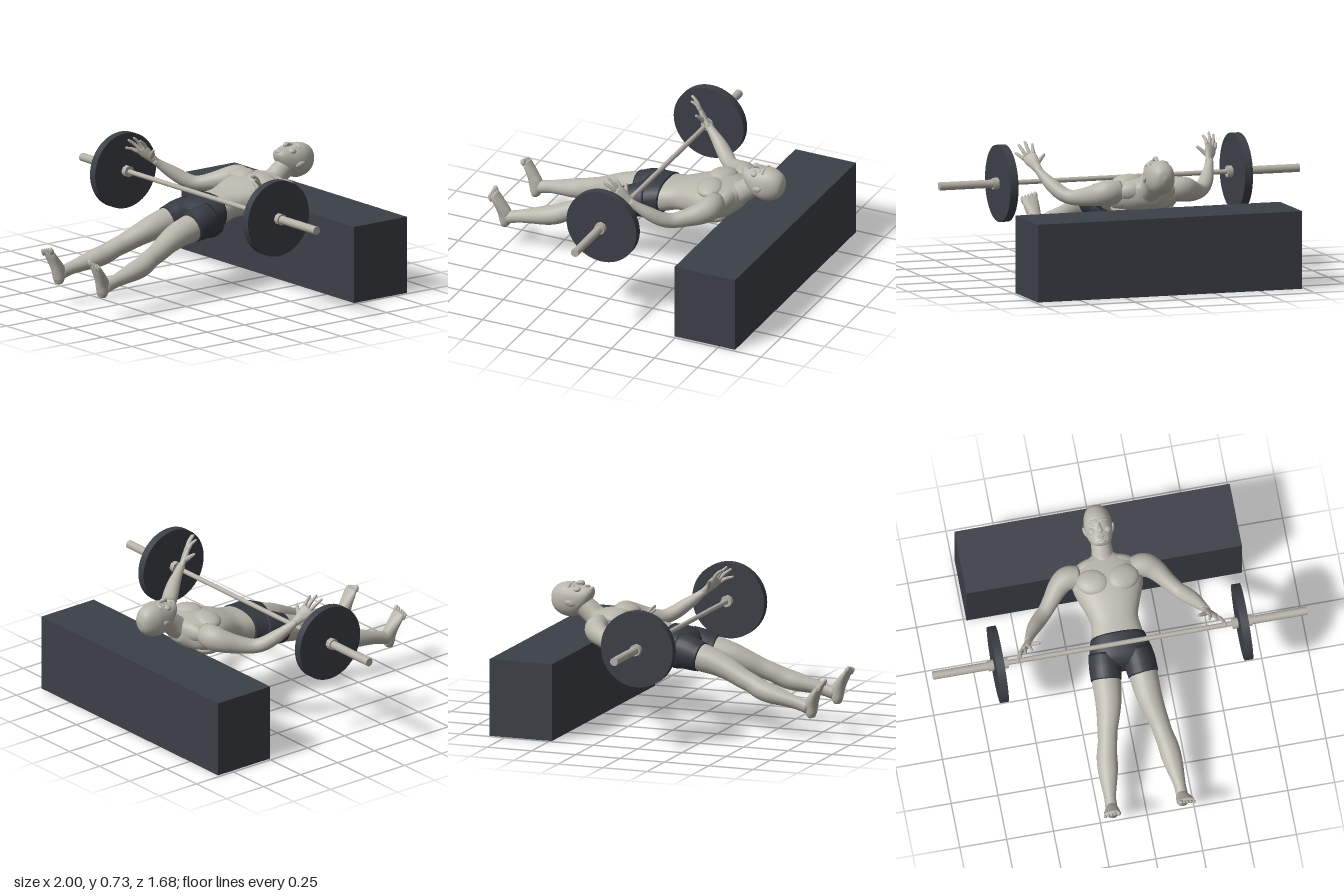
import * as THREE from 'three';

const V = (x, y, z) => new THREE.Vector3(x, y, z);
const UP = V(0, 1, 0);

// Skin over rounded cross-sections; rows are [x, y, z, halfWidth, halfHeight]
function loft(rows, { up = UP, axis = null, power = 1, bulge = 0.3, steps = 4, sides = 24 } = {}) {
  const path = new THREE.CatmullRomCurve3(rows.map(r => V(r[0], r[1], r[2])), false, 'catmullrom');
  const size = new THREE.CatmullRomCurve3(rows.map(r => V(r[3], r[4], 0)), false, 'catmullrom');
  const n = (rows.length - 1) * steps, pos = [], idx = [];
  const bend = v => Math.sign(v) * Math.pow(Math.abs(v), power);
  const ends = [];
  for (let i = 0; i <= n; i++) {
    const c = path.getPoint(i / n), s = size.getPoint(i / n);
    const t = axis ? axis.clone() : path.getTangent(i / n);
    const side = up.clone().cross(t).normalize(), top = t.clone().cross(side);
    for (let j = 0; j < sides; j++) {
      const a = j / sides * Math.PI * 2;
      const p = c.clone().addScaledVector(side, s.x * bend(Math.cos(a))).addScaledVector(top, s.y * bend(Math.sin(a)));
      pos.push(p.x, p.y, p.z);
    }
    if (i === 0 || i === n) ends.push(c.clone().addScaledVector(t, (i ? 1 : -1) * bulge * Math.min(s.x, s.y)));
  }
  ends.forEach(e => pos.push(e.x, e.y, e.z));
  const last = (n + 1) * sides;
  for (let j = 0; j < sides; j++) {
    const k = (j + 1) % sides;
    for (let i = 0; i < n; i++) {
      const a = i * sides + j, b = i * sides + k;
      idx.push(a, b, a + sides, b, b + sides, a + sides);
    }
    idx.push(last, k, j, last + 1, n * sides + j, n * sides + k);
  }
  const g = new THREE.BufferGeometry();
  g.setAttribute('position', new THREE.Float32BufferAttribute(pos, 3));
  g.setIndex(idx);
  g.computeVertexNormals();
  return g;
}

// Sections given as [z, halfWidth, top, bottom]
const slices = rows => rows.map(([z, w, t, b]) => [0, (t + b) / 2, z, w, (t - b) / 2]);

export function createModel() {
  const skin = new THREE.MeshStandardMaterial({ color: 0xb8b5ab });
  skin.name = 'skin';
  const steel = new THREE.MeshStandardMaterial({ color: 0xb5b1a7 });
  steel.name = 'steel';
  const dark = new THREE.MeshStandardMaterial({ color: 0x3b4047 });
  dark.name = 'charcoal';
  const cloth = new THREE.MeshStandardMaterial({ color: 0x353a41 });
  cloth.name = 'shortsCloth';

  const model = new THREE.Group();
  model.name = 'barbellHipThrust';
  const group = name => {
    const g = new THREE.Group();
    g.name = name;
    model.add(g);
    return g;
  };
  const add = (parent, name, geo, mat, x = 0, y = 0, z = 0) => {
    const m = new THREE.Mesh(geo, mat);
    m.name = name;
    m.position.set(x, y, z);
    parent.add(m);
    return m;
  };
  const blob = (parent, name, mat, [x, y, z], [rx, ry, rz], rot = [0, 0, 0]) => {
    const m = add(parent, name, new THREE.SphereGeometry(1, 20, 14), mat, x, y, z);
    m.scale.set(rx, ry, rz);
    m.rotation.set(...rot);
    return m;
  };

  // Bench
  add(model, 'bench', new THREE.BoxGeometry(1.47, 0.412, 0.352), dark, 0, 0.206, -0.666);

  // Barbell, each cylinder spanning x0 to x1
  const barbell = group('barbell');
  barbell.position.set(0, 0.515, -0.035);
  const rod = (name, x0, x1, r, mat, sides) => {
    const g = new THREE.CylinderGeometry(r, r, Math.abs(x1 - x0), sides).rotateZ(Math.PI / 2);
    add(barbell, name, g, mat, (x0 + x1) / 2);
  };
  rod('bar', -0.62, 0.62, 0.013, steel, 16);
  for (const s of [-1, 1]) {
    rod('sleeve', s * 0.615, s * 1, 0.022, steel, 16);
    rod('innerCollar', s * 0.598, s * 0.626, 0.031, steel, 8);
    rod('outerCollar', s * 0.674, s * 0.704, 0.031, steel, 8);
    rod('weightPlate', s * 0.63, s * 0.674, 0.203, dark, 64);
  }

  // Torso and neck
  const body = group('body');
  add(body, 'torso', loft(slices([
    [-0.06, 0.142, 0.495, 0.325], [-0.14, 0.133, 0.508, 0.345], [-0.2, 0.127, 0.522, 0.362],
    [-0.28, 0.153, 0.55, 0.37], [-0.36, 0.183, 0.568, 0.37], [-0.43, 0.19, 0.57, 0.375],
    [-0.48, 0.165, 0.565, 0.392], [-0.515, 0.105, 0.56, 0.415], [-0.54, 0.06, 0.555, 0.44],
  ]), { axis: V(0, 0, -1), power: 0.85, sides: 32 }), skin);
  add(body, 'neck', loft([
    [0, 0.49, -0.47, 0.085, 0.07], [0, 0.515, -0.525, 0.062, 0.06],
    [0, 0.555, -0.575, 0.054, 0.058], [0, 0.59, -0.63, 0.054, 0.055],
  ]), skin);

  // Head, face upward
  const head = group('head');
  add(head, 'skull', loft(slices([
    [-0.777, 0.012, 0.622, 0.594], [-0.767, 0.04, 0.652, 0.56], [-0.742, 0.06, 0.677, 0.53],
    [-0.7, 0.073, 0.692, 0.512], [-0.66, 0.074, 0.69, 0.51], [-0.62, 0.069, 0.682, 0.525],
    [-0.585, 0.059, 0.678, 0.56], [-0.56, 0.045, 0.672, 0.6], [-0.546, 0.025, 0.662, 0.628],
  ]), { axis: V(0, 0, 1), power: 0.92 }), skin);
  add(head, 'nose', loft([
    [0, 0.682, -0.655, 0.007, 0.007], [0, 0.69, -0.63, 0.01, 0.011],
    [0, 0.694, -0.61, 0.015, 0.012], [0, 0.684, -0.6, 0.01, 0.006],
  ], { sides: 12 }), skin);
  blob(head, 'upperLip', skin, [0, 0.677, -0.583], [0.021, 0.007, 0.006]);
  blob(head, 'lowerLip', skin, [0, 0.676, -0.573], [0.018, 0.007, 0.006]);
  blob(head, 'chin', skin, [0, 0.662, -0.556], [0.024, 0.013, 0.013]);
  for (const s of [-1, 1]) {
    blob(head, 'brow', skin, [s * 0.028, 0.681, -0.668], [0.026, 0.01, 0.009], [0, 0, s * -0.3]);
    blob(head, 'eye', skin, [s * 0.028, 0.677, -0.648], [0.012, 0.007, 0.007]);
    blob(head, 'cheek', skin, [s * 0.038, 0.662, -0.622], [0.022, 0.016, 0.022]);
    blob(head, 'ear', skin, [s * 0.074, 0.592, -0.65], [0.009, 0.016, 0.028], [0.35, s * -0.25, 0]);
  }

  // Shorts over the hips
  const shorts = group('shorts');
  add(shorts, 'hips', loft(slices([
    [-0.105, 0.145, 0.509, 0.325], [-0.07, 0.154, 0.506, 0.308], [-0.02, 0.167, 0.498, 0.298],
    [0.025, 0.165, 0.478, 0.3], [0.055, 0.12, 0.445, 0.325],
  ]), { axis: V(0, 0, 1), power: 0.85, bulge: 0.05, sides: 32 }), cloth);

  for (const s of [-1, 1]) {
    const label = s > 0 ? 'left' : 'right';
    const flip = rows => rows.map(([x, ...rest]) => [s * x, ...rest]);
    const limb = (parent, name, rows, mat = skin, opt = {}) => add(parent, name, loft(flip(rows), opt), mat);

    blob(body, 'chestMuscle', skin, [s * 0.083, 0.548, -0.385], [0.085, 0.035, 0.07], [0.05, s * 0.25, s * -0.12]);
    blob(body, 'shoulderBlade', skin, [s * 0.1, 0.405, -0.4], [0.07, 0.036, 0.085]);
    blob(body, 'trapezius', skin, [s * 0.085, 0.505, -0.487], [0.09, 0.05, 0.04], [0, s * -0.25, s * -0.1]);

    // Shorts leg and buttock
    limb(shorts, 'shortsLeg', [
      [0.085, 0.4, -0.03, 0.082, 0.09], [0.092, 0.387, 0.03, 0.085, 0.09],
      [0.096, 0.376, 0.075, 0.083, 0.083], [0.099, 0.37, 0.105, 0.081, 0.078],
    ], cloth, { bulge: 0.02 });
    blob(shorts, 'buttock', cloth, [s * 0.08, 0.36, -0.03], [0.082, 0.064, 0.085]);

    // Leg and foot
    const leg = group(label + 'Leg');
    limb(leg, 'legSkin', [
      [0.095, 0.38, 0.05, 0.074, 0.076], [0.1, 0.365, 0.12, 0.075, 0.073], [0.106, 0.345, 0.2, 0.07, 0.066],
      [0.121, 0.315, 0.28, 0.061, 0.057], [0.138, 0.284, 0.35, 0.053, 0.052], [0.149, 0.262, 0.41, 0.051, 0.05],
      [0.163, 0.235, 0.47, 0.054, 0.052], [0.17, 0.219, 0.53, 0.054, 0.05], [0.178, 0.204, 0.6, 0.045, 0.041],
      [0.186, 0.186, 0.68, 0.032, 0.034], [0.189, 0.168, 0.745, 0.032, 0.035],
    ]);
    limb(leg, 'foot', [
      [0.185, 0.117, 0.762, 0.022, 0.017], [0.186, 0.14, 0.757, 0.031, 0.03], [0.188, 0.185, 0.757, 0.034, 0.038],
      [0.193, 0.23, 0.777, 0.039, 0.029], [0.197, 0.272, 0.802, 0.044, 0.02], [0.199, 0.298, 0.816, 0.041, 0.014],
    ], skin, { up: V(0, 0, 1) });
    for (let i = 0; i < 5; i++) {
      const r = i ? 0.0085 : 0.013, x = 0.166 + i * 0.0172 + (i ? 0.002 : 0);
      blob(leg, 'toe', skin, [s * x, 0.305 - i * 0.005, 0.822], [r, 0.021, r], [0.35, 0, 0]);
    }

    // Arm
    const arm = group(label + 'Arm');
    limb(arm, 'armSkin', [
      [0.14, 0.5, -0.445, 0.055, 0.06], [0.205, 0.5, -0.447, 0.063, 0.067], [0.256, 0.487, -0.417, 0.056, 0.06],
      [0.307, 0.47, -0.355, 0.045, 0.048], [0.355, 0.462, -0.295, 0.04, 0.039], [0.394, 0.479, -0.25, 0.041, 0.038],
      [0.431, 0.517, -0.198, 0.036, 0.035], [0.461, 0.56, -0.142, 0.025, 0.025], [0.477, 0.592, -0.105, 0.021, 0.018],
    ]);

    // Hand with spread fingers
    const palm = { up: V(-0.5 * s, -0.4, 0.67).normalize(), sides: 14 };
    limb(arm, 'palm', [
      [0.47, 0.58, -0.117, 0.02, 0.017], [0.483, 0.608, -0.088, 0.027, 0.016],
      [0.497, 0.635, -0.063, 0.037, 0.015], [0.507, 0.658, -0.043, 0.036, 0.011],
    ], skin, palm);
    const tips = [[0.474, 0.71, -0.01], [0.511, 0.722, 0.004], [0.541, 0.706, 0.016], [0.555, 0.662, 0.022]];
    tips.forEach(([x, y, z], i) => {
      const k = (i - 1.5) * 0.019, a = [0.505 + 0.81 * k, 0.652 - 0.5 * k, -0.046 + 0.3 * k];
      limb(arm, 'finger', [
        [...a, 0.0105, 0.0105],
        [(a[0] + x) / 2 + 0.003, (a[1] + y) / 2 + 0.003, (a[2] + z) / 2 - 0.004, 0.009, 0.009],
        [x, y, z, 0.0065, 0.0065],
      ], skin, { ...palm, sides: 10, bulge: 0.8 });
    });
    limb(arm, 'thumb', [
      [0.482, 0.605, -0.088, 0.013, 0.013], [0.455, 0.633, -0.073, 0.012, 0.012], [0.425, 0.66, -0.06, 0.007, 0.007],
    ], skin, { ...palm, sides: 10, bulge: 0.8 });
  }
  return model;
}
